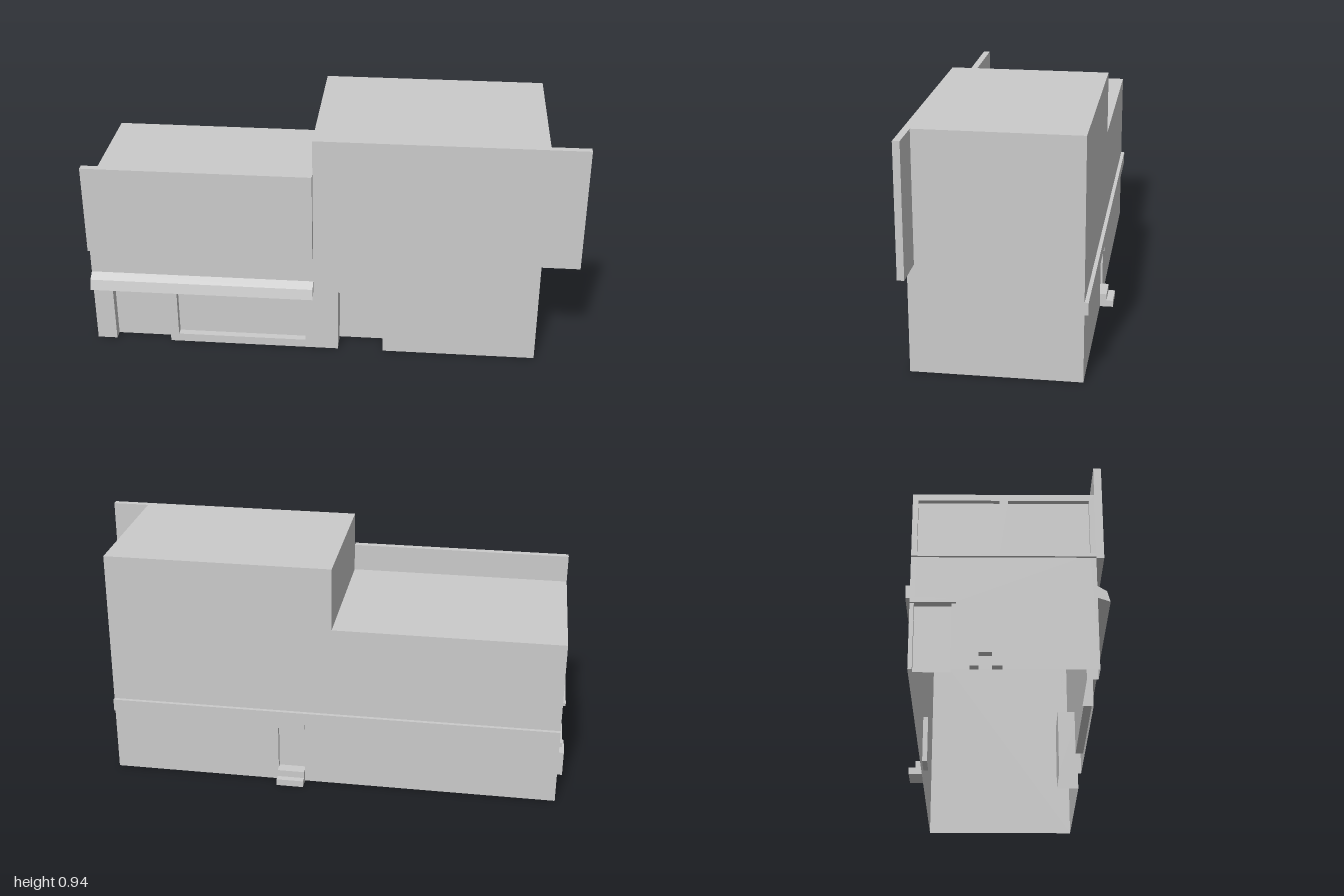
import * as THREE from 'three';

const mat = new THREE.MeshStandardMaterial({ color: 0xcccccc, flatShading: true, side: THREE.DoubleSide });
const X0 = -0.97, XM = -0.06, X1 = 0.845, ZB = -0.32, ZF = 0.33; // plan limits
const LOW = 0.69, TALL = 0.945; // roof heights

function add(parent, name, geo) {
  const mesh = new THREE.Mesh(geo, mat);
  mesh.name = name;
  parent.add(mesh);
  return mesh;
}

// Box given by its limits
function box(parent, name, [x0, x1], [y0, y1], [z0, z1]) {
  const mesh = add(parent, name, new THREE.BoxGeometry(x1 - x0, y1 - y0, z1 - z0));
  mesh.position.set((x0 + x1) / 2, (y0 + y1) / 2, (z0 + z1) / 2);
  return mesh;
}

const path = (pts) => pts.map(([x, y]) => new THREE.Vector2(x, y));
const rect = ([u0, u1], [v0, v1]) => [[u0, v0], [u1, v0], [u1, v1], [u0, v1]];

// Flat wall facing local +z, with rectangular holes
function wall(parent, name, outline, holes = []) {
  const shape = new THREE.Shape(path(outline));
  holes.forEach((h) => shape.holes.push(new THREE.Path(path(rect(...h)))));
  return add(parent, name, new THREE.ShapeGeometry(shape));
}

// Recess behind a wall opening: a box without its front, and without its floor for doorways
function niche(parent, name, [u0, u1], [v0, v1], depth, floor = true) {
  const geo = new THREE.BoxGeometry(u1 - u0, v1 - v0, depth);
  const index = Array.from(geo.index.array);
  const skip = floor ? [4] : [3, 4];
  geo.setIndex(index.filter((_, i) => !skip.includes(Math.floor(i / 6))));
  geo.clearGroups();
  add(parent, name, geo).position.set((u0 + u1) / 2, (v0 + v1) / 2, -depth / 2);
}

function side(parent, name, x, z, turn) {
  const g = new THREE.Group();
  g.name = name;
  g.position.set(x, 0, z);
  g.rotation.y = turn;
  parent.add(g);
  return g;
}

export function createModel() {
  const model = new THREE.Group();
  model.name = 'shopBuilding';

  // Front: two doorways, display window, opening hidden behind the awning
  const front = side(model, 'front', 0, ZF, 0);
  const windowHole = [[-0.625, -0.095], [0.035, 0.24]];
  wall(front, 'frontWall', [
    [X0, 0], [-0.89, 0], [-0.89, 0.262], [-0.66, 0.262], [-0.66, 0], [0.04, 0], [0.04, 0.272],
    [0.225, 0.272], [0.225, 0], [X1, 0], [X1, TALL], [XM, TALL], [XM, LOW], [X0, LOW],
  ], [windowHole, [[X0 + 0.005, XM - 0.005], [0.277, 0.317]]]);
  niche(front, 'displayWindow', ...windowHole, 0.03);
  niche(front, 'shopDoorway', [-0.89, -0.66], [0, 0.262], 0.04, false);
  niche(front, 'mainDoorway', [0.04, 0.225], [0, 0.272], 0.09, false);

  // Back: stepped outline with a small raised door
  const back = side(model, 'back', 0, ZB, Math.PI);
  const backDoor = [[-0.16, -0.05], [0.055, 0.25]];
  wall(back, 'backWall', [
    [-X1, 0], [-X0, 0], [-X0, LOW], [-XM, LOW], [-XM, TALL], [-X1, TALL],
  ], [backDoor]);
  niche(back, 'backDoor', ...backDoor, 0.02);
  box(back, 'backBand', [-X1, -X0], [0.27, 0.32], [0, 0.015]);
  box(back, 'backDoorLintel', [-0.16, -0.05], [0.247, 0.27], [0, 0.015]);
  box(back, 'upperStep', [-0.16, -0.05], [0, 0.055], [0, 0.027]);
  box(back, 'lowerStep', [-0.16, -0.05], [0, 0.027], [0.027, 0.054]);

  // Low end: paired upper windows, side door, sills and a utility box
  const end = side(model, 'lowEnd', X0, 0, -Math.PI / 2);
  const panes = [[-0.3, -0.01], [0.02, 0.31]].map((u) => [u, [0.445, 0.665]]);
  wall(end, 'lowEndWall', [
    [ZB, 0], [-0.305, 0], [-0.305, 0.25], [-0.175, 0.25], [-0.175, 0], [ZF, 0], [ZF, LOW], [ZB, LOW],
  ], panes);
  panes.forEach((p) => niche(end, 'upperWindow', ...p, 0.02));
  niche(end, 'sideDoorway', [-0.305, -0.175], [0, 0.25], 0.025, false);
  box(end, 'windowSill', [ZB, ZF], [0.432, 0.445], [0, 0.01]);
  box(end, 'sideDoorLintel', [ZB, -0.16], [0.25, 0.268], [0, 0.01]);
  const utility = new THREE.Shape(path([
    [-0.11, 0], [-0.08, 0], [-0.08, 0.05], [-0.035, 0.05], [-0.035, 0], [0, 0], [0, 0.105], [-0.11, 0.105],
  ]));
  add(end, 'utilityBox', new THREE.ExtrudeGeometry(utility, { depth: 0.03, bevelEnabled: false }));

  // Tall end and the wall where the roof steps up
  const tallEnd = side(model, 'tallEnd', X1, 0, Math.PI / 2);
  wall(tallEnd, 'tallEndWall', rect([-ZF, -ZB], [0, TALL]));
  const step = side(model, 'roofStep', XM, 0, -Math.PI / 2);
  wall(step, 'roofStepWall', rect([ZB, ZF], [LOW, TALL]));

  // Flat roofs
  for (const [name, a, b, y] of [['lowRoof', X0, XM, LOW], ['tallRoof', XM, X1, TALL]]) {
    const roof = wall(model, name, rect([a, b], [-ZF, -ZB]));
    roof.rotation.x = -Math.PI / 2;
    roof.position.y = y;
  }

  // Sign panel over the shop and facade fin past the tall end
  box(model, 'signPanel', [X0, XM], [0.432, 0.803], [ZF, 0.358]);
  box(model, 'facadeFin', [X1, 0.997], [0.432, TALL], [0.303, ZF]);

  // Awning: sloped profile swept along x, open towards the wall
  const profile = [[ZF, 0.32], [0.363, 0.3], [0.374, 0.258], [ZF, 0.274]];
  const awning = new THREE.Group();
  awning.name = 'awning';
  model.add(awning);
  for (let i = 0; i < 3; i++) {
    const [[za, ya], [zb, yb]] = [profile[i], profile[i + 1]];
    const geo = new THREE.BufferGeometry();
    geo.setAttribute('position', new THREE.Float32BufferAttribute(
      [X0, ya, za, X0, yb, zb, XM, yb, zb, XM, ya, za], 3));
    geo.setIndex([0, 1, 2, 0, 2, 3]);
    geo.computeVertexNormals();
    add(awning, 'awningSlope', geo);
  }
  for (const x of [X0, XM]) {
    const cap = wall(awning, 'awningEnd', profile.map(([z, y]) => [z, y]));
    cap.rotation.y = -Math.PI / 2;
    cap.position.x = x;
  }
  return model;
}
